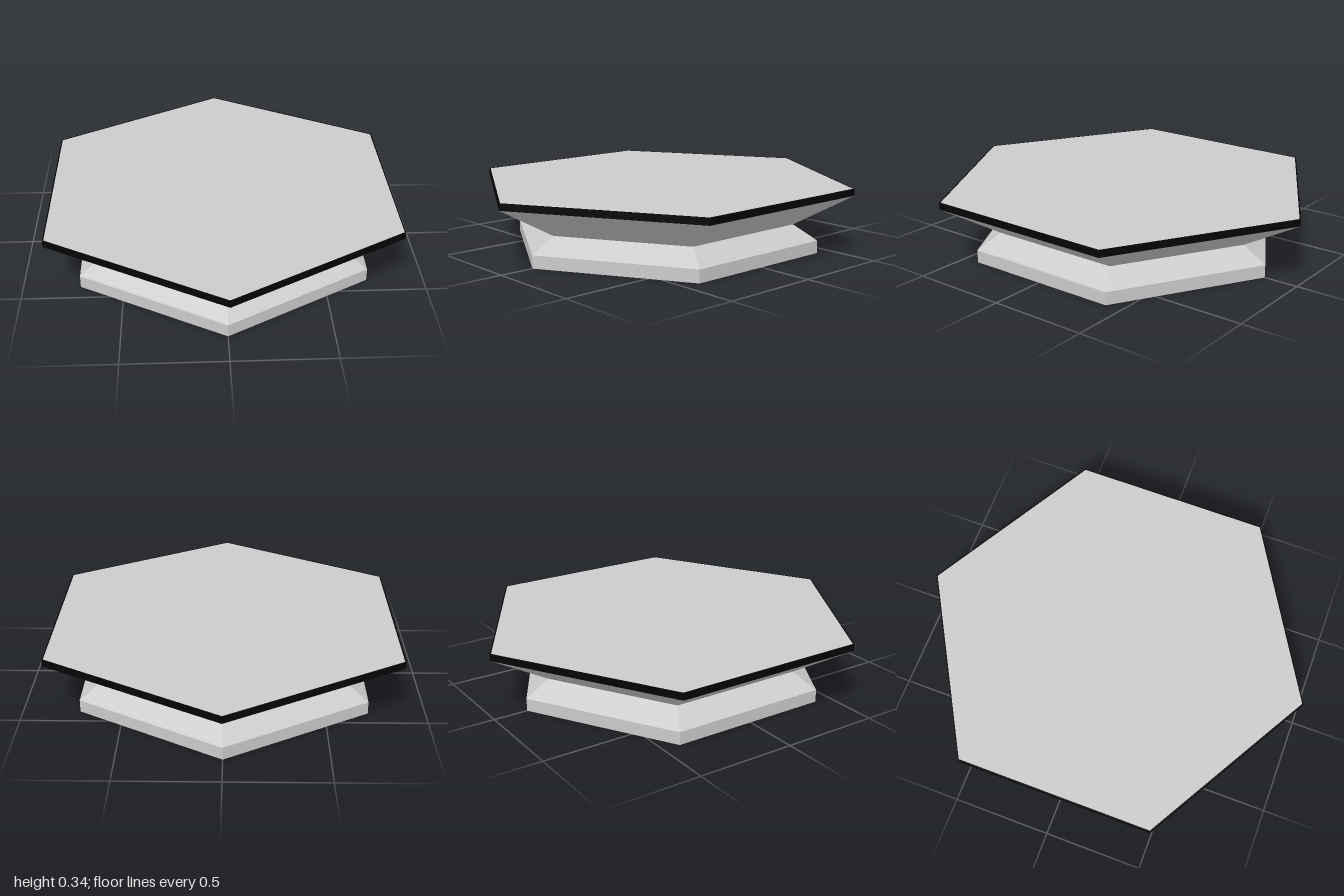
import * as THREE from 'three';

const SIDES = 6; // corners point to +z and -z

export function createModel() {
  const group = new THREE.Group();
  group.name = 'hexagonalStand';
  const grey = new THREE.MeshStandardMaterial({ color: 0xcccccc, flatShading: true });
  const black = new THREE.MeshStandardMaterial({ color: 0x050505, flatShading: true });

  // Six-sided shell from [radius, height] pairs, listed along the outside from bottom to top
  const shell = (name, profile, material) => {
    const points = profile.map(([r, y]) => new THREE.Vector2(r, y));
    const mesh = new THREE.Mesh(new THREE.LatheGeometry(points, SIDES), material);
    mesh.name = name;
    group.add(mesh);
  };

  // Flat hexagon facing up (dir 1) or down (dir -1)
  const panel = (name, radius, y, dir, material) => {
    const geometry = new THREE.CircleGeometry(radius, SIDES, Math.PI / 2);
    geometry.rotateX(-dir * Math.PI / 2);
    const mesh = new THREE.Mesh(geometry, material);
    mesh.name = name;
    mesh.position.y = y;
    group.add(mesh);
  };

  // Foot with a sloped shoulder and a narrow border under it
  shell('foot', [[0.815, 0], [0.825, 0], [0.825, 0.065], [0.7, 0.14]], grey);
  panel('footPad', 0.815, 0, -1, black);

  // Flared underside, dark rim and flat top
  shell('flare', [[0.7, 0.14], [1, 0.305]], grey);
  shell('rim', [[1, 0.305], [1, 0.34], [0.993, 0.34]], black);
  panel('topPlate', 0.993, 0.34, 1, grey);

  return group;
}
